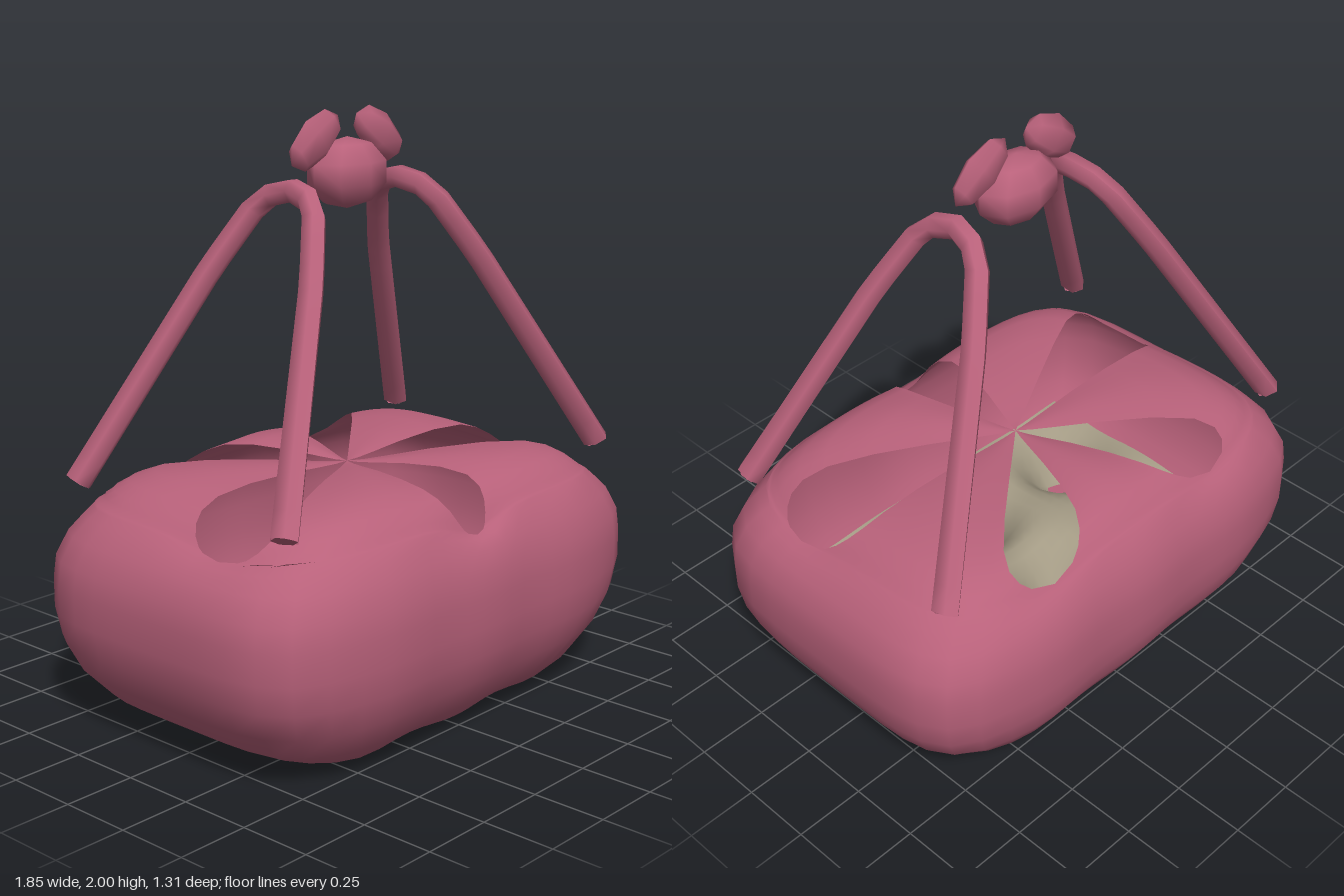
import * as THREE from 'three';
import { mergeVertices } from 'three/addons/utils/BufferGeometryUtils.js';

const cloth = new THREE.MeshStandardMaterial({ color: 0xb8617a, side: THREE.DoubleSide });
const tan = new THREE.MeshStandardMaterial({ color: 0xa39a84, side: THREE.DoubleSide });

function addMesh(parent, name, geometry, material = cloth) {
  const mesh = new THREE.Mesh(geometry, material);
  mesh.name = name;
  parent.add(mesh);
  return mesh;
}

// Petal openings in the top: direction and half angle (degrees), outer reach,
// bluntness of the outer end and how far the cloth sags there
const openings = [
  { at: 14, half: 14, end: 0.87, blunt: 12, sag: 0.03 },
  { at: 90, half: 18, end: 0.87, blunt: 4, sag: 0.055 },
  { at: 166, half: 14, end: 0.87, blunt: 12, sag: 0.03 },
  { at: 235, half: 15, end: 0.85, blunt: 9, sag: 0.02 },
  { at: 305, half: 15, end: 0.85, blunt: 9, sag: 0.02 },
];

// Profile from bottom centre to top centre: fraction of the outline, height
const sides = [[0, 0.03], [0.3, 0.02], [0.6, 0.01], [0.74, 0.04], [0.84, 0.1], [0.93, 0.2],
  [0.98, 0.3], [1, 0.4], [1, 0.5], [0.99, 0.58], [0.95, 0.66], [0.9, 0.715]];
const top = [[0.87, 0.735], [0.86, 0.74], [0.85, 0.745], [0.83, 0.76], [0.8, 0.78], [0.75, 0.805],
  [0.66, 0.83], [0.5, 0.84], [0.3, 0.835], [0.15, 0.825], [0.06, 0.82], [0, 0.82]];

// Rounded rectangle outline of the bundle
function outline(a) {
  const n = 5;
  return Math.pow(Math.pow(Math.abs(Math.cos(a)) / 0.92, n) + Math.pow(Math.abs(Math.sin(a)) / 0.65, n), -1 / n);
}

// Sectors run between neighbouring openings and join below them
function wrapGeometry() {
  const rows = [...sides, ...top], columns = 12, pos = [], index = [];
  const halfAngle = (o, s, row) => row < sides.length || s >= o.end || s < 0.04 ? 0
    : o.half * Math.sqrt(1 - Math.pow(s / o.end, o.blunt));
  openings.forEach((o, k) => {
    const next = openings[(k + 1) % openings.length];
    const nextAt = next.at + (k === openings.length - 1 ? 360 : 0);
    const base = pos.length / 3;
    rows.forEach(([s, y], r) => {
      const a0 = o.at + halfAngle(o, s, r), a1 = nextAt - halfAngle(next, s, r);
      for (let c = 0; c <= columns; c++) {
        const u = c / columns, deg = a0 + (a1 - a0) * u, a = THREE.MathUtils.degToRad(deg);
        const onTop = r >= sides.length;
        // Soft lumps along the sides and underneath
        const lump = onTop ? 0 : Math.cos(s * outline(a) * Math.cos(a) * 14);
        const d = s * outline(a) * (1 + 0.008 * lump);
        const ridge = onTop ? 0.015 * Math.sin(Math.PI * u) * Math.sin(Math.PI * s) : 0;
        const nearEnd = r > 6 ? Math.exp(-(((s - 0.87) / 0.06) ** 2)) : 0;
        const sag = nearEnd * (o.sag * Math.exp(-(((deg - o.at) / 14) ** 2))
          + next.sag * Math.exp(-(((deg - nextAt) / 14) ** 2)));
        const under = r < 4 ? 0.008 * lump * s : 0;
        pos.push(d * Math.cos(a), y + ridge - sag - under, d * Math.sin(a));
        if (r && c) {
          const i = base + r * (columns + 1) + c, j = i - columns - 1;
          index.push(j - 1, i - 1, j, j, i - 1, i);
        }
      }
    });
  });
  let g = new THREE.BufferGeometry();
  g.setAttribute('position', new THREE.Float32BufferAttribute(pos, 3));
  g.setIndex(index);
  g = mergeVertices(g, 1e-4);
  g.computeVertexNormals();
  return g;
}

// Tube that widens in z towards both ends
function handleGeometry(path) {
  const rings = 28, sidesCount = 6;
  const g = new THREE.TubeGeometry(path, rings, 0.04, sidesCount);
  const p = g.attributes.position;
  for (let i = 0; i < p.count; i++) {
    const t = Math.floor(i / (sidesCount + 1)) / rings, centre = path.getPointAt(t).z;
    p.setZ(i, centre + (p.getZ(i) - centre) * (1 + 0.35 * Math.abs(2 * t - 1)));
  }
  g.computeVertexNormals();
  return g;
}

export function createModel() {
  const group = new THREE.Group();
  group.name = 'wrappedBundle';
  addMesh(group, 'clothWrap', wrapGeometry());

  // Dimpled tray inside
  const dips = [];
  for (const x of [-0.47, 0, 0.47]) for (const z of [-0.22, 0.22]) dips.push([x, z]);
  const tray = new THREE.PlaneGeometry(1.38, 0.92, 30, 20).rotateX(-Math.PI / 2);
  const p = tray.attributes.position;
  for (let i = 0; i < p.count; i++) {
    let y = 0.31;
    for (const [x, z] of dips) {
      y -= 0.23 * Math.exp(-((p.getX(i) - x) ** 2 + (p.getZ(i) - z) ** 2) / 0.018);
    }
    p.setY(i, y);
  }
  tray.computeVertexNormals();
  addMesh(group, 'tray', tray, tan);

  // Cloth showing at the bottom of the front dimples
  for (const [x, z] of dips.filter((d) => d[1] > 0)) {
    addMesh(group, 'dimpleCloth', new THREE.CylinderGeometry(0.07, 0.05, 0.03, 4, 1, false, 0.6)).position.set(x, 0.1, z);
  }

  // Two bent handles, each with a front and a back leg
  for (const side of [-1, 1]) {
    const half = [[0.785, 0.825, 0.465], [0.41, 1.5, 0.225], [0.28, 1.73, 0.115]];
    const points = [...half, [0.255, 1.76, 0], ...half.map(([x, y, z]) => [x, y, -z]).reverse()]
      .map(([x, y, z]) => new THREE.Vector3(side * x, y, z));
    const path = new THREE.CatmullRomCurve3(points, false, 'catmullrom', 0.04);
    const name = side > 0 ? 'leftHandle' : 'rightHandle';
    addMesh(group, name, handleGeometry(path));
    for (const [end, inner] of [[points[0], points[1]], [points[6], points[5]]]) {
      const cap = addMesh(group, name + 'End', new THREE.CircleGeometry(0.042, 6));
      cap.position.copy(end);
      cap.lookAt(end.clone().multiplyScalar(2).sub(inner));
    }

    // Bow lobe above the knot
    const lobe = addMesh(group, side > 0 ? 'leftBowLobe' : 'rightBowLobe', new THREE.SphereGeometry(1, 6, 4).rotateZ(Math.PI / 2));
    lobe.scale.set(0.13, 0.076, 0.045);
    lobe.position.set(side * 0.152, 1.91, 0);
    lobe.rotation.z = -side * 0.6;
  }

  // Knot between the handles
  const knot = addMesh(group, 'knot', new THREE.SphereGeometry(1, 8, 5));
  knot.scale.set(0.165, 0.117, 0.11);
  knot.position.y = 1.795;
  return group;
}
